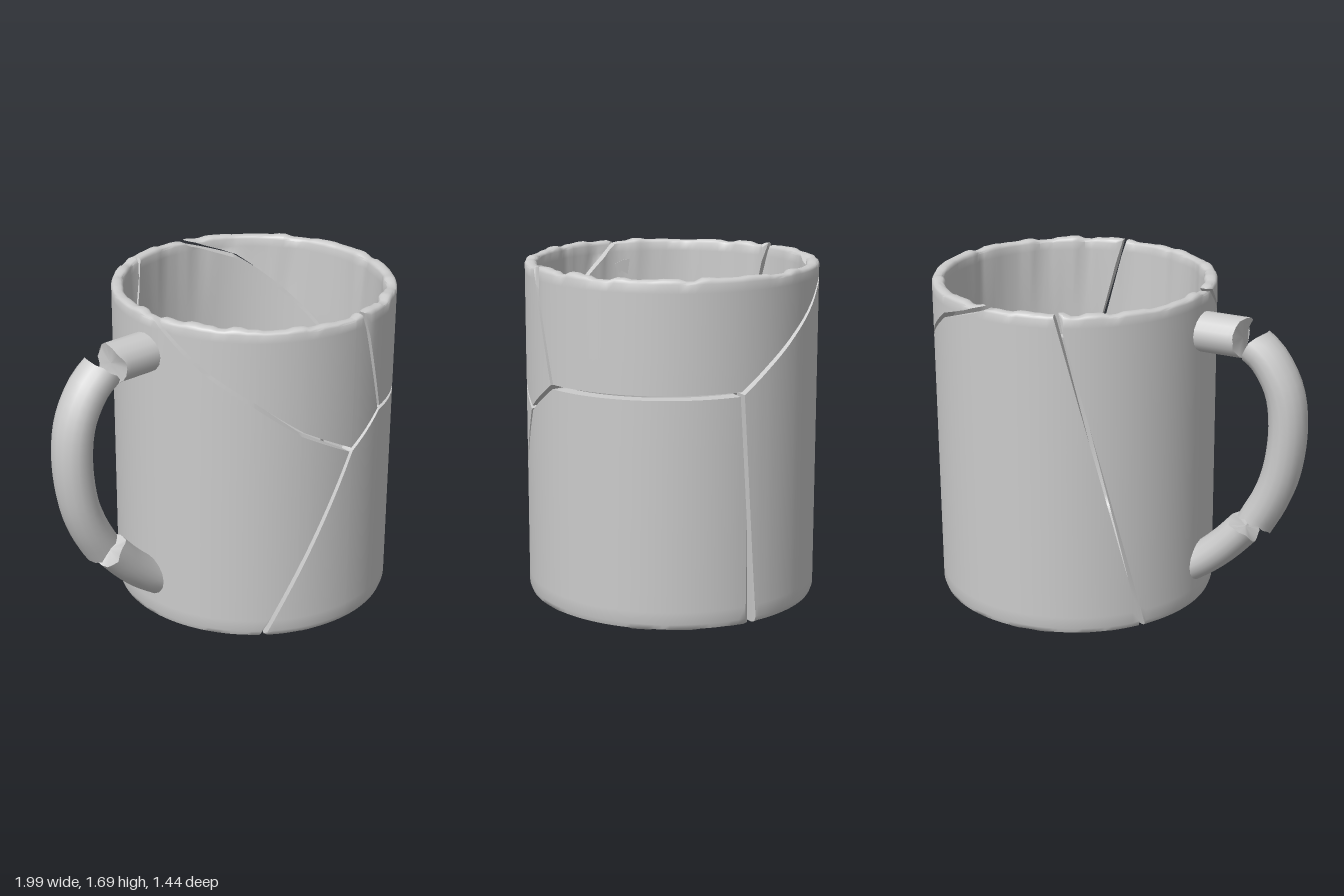
import * as THREE from 'three';
import { toCreasedNormals } from 'three/addons/utils/BufferGeometryUtils.js';

const CX = 0.28, R = 0.72, INNER = 0.65, H = 1.68, GAP = 0.011;
const RAD = Math.PI / 180;
const material = new THREE.MeshStandardMaterial({ color: 0xcccccc, side: THREE.DoubleSide });
const hash = n => { const s = Math.sin(n * 127.1) * 43758.5453; return s - Math.floor(s); };

function addMesh(group, name, geometry) {
  const mesh = new THREE.Mesh(geometry, material);
  mesh.name = name;
  group.add(mesh);
}

// Closed surface through a list of rings, with a fan cap at either end
function loft(rings) {
  const out = [];
  const tri = (a, b, c) => {
    const area = b.clone().sub(a).cross(c.clone().sub(a)).length();
    if (area > 1e-8) for (const p of [a, b, c]) out.push(p.x, p.y, p.z);
  };
  const n = rings[0].length;
  const centre = ring => ring.reduce((s, p) => s.add(p), new THREE.Vector3()).divideScalar(n);
  const first = rings[0], last = rings[rings.length - 1];
  const c0 = centre(first), c1 = centre(last);
  for (let j = 0; j < n; j++) {
    const k = (j + 1) % n;
    for (let i = 0; i < rings.length - 1; i++) {
      tri(rings[i][j], rings[i + 1][j], rings[i + 1][k]);
      tri(rings[i][j], rings[i + 1][k], rings[i][k]);
    }
    tri(c0, first[j], first[k]);
    tri(c1, last[k], last[j]);
  }
  const geometry = new THREE.BufferGeometry();
  geometry.setAttribute('position', new THREE.Float32BufferAttribute(out, 3));
  return toCreasedNormals(geometry, 0.75);
}

// Moves every edge of a counter-clockwise polygon inwards by d
function inset(points, d) {
  const n = points.length;
  const normal = (a, b) => {
    const l = Math.hypot(b[0] - a[0], b[1] - a[1]);
    return [-(b[1] - a[1]) / l, (b[0] - a[0]) / l];
  };
  return points.map((p, i) => {
    const u = normal(points[(i + n - 1) % n], p), v = normal(p, points[(i + 1) % n]);
    const k = d / (1 + u[0] * v[0] + u[1] * v[1]);
    return [p[0] + (u[0] + v[0]) * k, p[1] + (u[1] + v[1]) * k];
  });
}

// Wall profile: rounded foot and rim outside, fillet to the floor inside
const rounding = (d, r) => d >= r ? 0 : r - Math.sqrt(Math.max(0, r * r - (r - d) ** 2));
const outerRadius = y => R - rounding(y, 0.04) - rounding(H - y, 0.025);
const innerRadius = y => INNER - (y < 0.1 ? 0.08 : rounding(y - 0.1, 0.08)) + rounding(H - y, 0.025);
const LEVELS = [0, 0.005, 0.015, 0.04, 0.1, 0.11, 0.13, 0.18, 0.5, 0.9, 1.3, 1.62, 1.655, 1.67, 1.677, H];

// Wall shard from an outline of [degrees round the mug, height]; 0 degrees is the front
function wallShard(outline) {
  const poly = inset(outline.map(([a, y]) => [a * RAD * R, y]), GAP).map(([s, y]) => [s / R, y]);
  const angles = poly.map(p => p[0]);
  const from = Math.min(...angles), to = Math.max(...angles);
  for (let a = Math.ceil(from / RAD / 3) * 3 * RAD; a < to; a += 3 * RAD) angles.push(a);
  angles.sort((a, b) => a - b);
  const rings = angles.map(a => {
    let lo = Infinity, hi = -Infinity;
    poly.forEach((p, i) => {
      const q = poly[(i + 1) % poly.length];
      if (a < Math.min(p[0], q[0]) - 1e-9 || a > Math.max(p[0], q[0]) + 1e-9) return;
      const y = p[1] + (q[1] - p[1]) * (a - p[0]) / (q[0] - p[0]);
      lo = Math.min(lo, y);
      hi = Math.max(hi, y);
    });
    // Small chips along the rim and foot
    const step = Math.round(a / RAD / 6);
    const chip = 0.018 * hash(step + 80), foot = 0.012 * hash(step + 300);
    const at = (r, y) => {
      const h = y > 1.65 ? y + 0.008 - chip * (y - 1.65) / 0.03 : y < 0.015 ? y + foot * (1 - y / 0.015) : y;
      return new THREE.Vector3(CX + r * Math.sin(a), h, r * Math.cos(a));
    };
    const ys = LEVELS.map(y => Math.min(Math.max(y, lo), hi));
    return [
      ...ys.map(y => at(outerRadius(y), y)),
      ...ys.slice().reverse().map(y => at(innerRadius(y) + (y > 1.6 ? chip : 0), y)),
    ];
  });
  return loft(rings);
}

// Floor slab between two angles and the point where the floor cracks meet
function floorShard(from, to) {
  const points = [[-0.12, 0.21]];
  for (let i = 0; i <= 30; i++) {
    const a = (from + (to - from) * i / 30) * RAD;
    points.push([CX + 0.67 * Math.sin(a), -0.67 * Math.cos(a)]);
  }
  const shape = new THREE.Shape(inset(points, GAP).map(p => new THREE.Vector2(...p)));
  return new THREE.ExtrudeGeometry(shape, { depth: 0.088, bevelEnabled: false })
    .rotateX(-Math.PI / 2).translate(0, 0.015, 0);
}

// Handle piece along a path in the x-y plane, with slanted broken ends
function handlePiece(path, startBreak, endBreak, radius = 0.1) {
  const curve = new THREE.CatmullRomCurve3(path.map(([x, y]) => new THREE.Vector3(x, y, 0)));
  const steps = 20, sides = 16, rings = [];
  for (let i = 0; i <= steps; i++) {
    const p = curve.getPointAt(i / steps), t = curve.getTangentAt(i / steps);
    const rough = i === 0 ? startBreak : i === steps ? endBreak : 0;
    rings.push(Array.from({ length: sides }, (_, j) => {
      const a = j / sides * Math.PI * 2, c = Math.cos(a) * radius;
      const shift = rough * (Math.sin(2 * a + 1) + hash(j + i) - 0.5);
      return new THREE.Vector3(p.x - t.y * c + t.x * shift, p.y + t.x * c + t.y * shift, -Math.sin(a) * 0.11);
    }));
  }
  return loft(rings);
}

export function createModel() {
  const mug = new THREE.Group();
  mug.name = 'crackedMug';

  // Crack lines shared by neighbouring shards
  const top = H + GAP, bottom = -GAP;
  const leftCrack = [[-86, top], [-60, 1.44], [-42, 1.3], [-23, 1.13], [0, 0.98]];
  const frontFork = [17.8, 1.13], rimFront = [4.8, top], rimBack = [201, top];
  const frontFoot = [[-38.7, bottom], [-18.6, 0.5]], rightFoot = [102.8, bottom];
  const backCrack = [[96.5, 1.14], [109, 1.26], [123.7, 1.39], [146, 1.57], [176, top]];

  const walls = new THREE.Group();
  walls.name = 'wallShards';
  mug.add(walls);
  addMesh(walls, 'upperFrontShard', wallShard([...leftCrack, frontFork, rimFront]));
  addMesh(walls, 'upperRightShard', wallShard([rimFront, frontFork, ...backCrack]));
  addMesh(walls, 'lowerFrontShard', wallShard(
    [frontFoot[0], rightFoot, backCrack[0], frontFork, leftCrack[4], frontFoot[1]]));
  addMesh(walls, 'backShard', wallShard(
    [rightFoot, [236, bottom], rimBack, ...backCrack.slice().reverse()]));
  addMesh(walls, 'handleSideShard', wallShard(
    [[-124, bottom], ...frontFoot, ...leftCrack.slice().reverse(), [rimBack[0] - 360, top]]));

  const floor = new THREE.Group();
  floor.name = 'floorShards';
  mug.add(floor);
  addMesh(floor, 'frontFloor', floorShard(-38.7, 102.8));
  addMesh(floor, 'backFloor', floorShard(102.8, 236));
  addMesh(floor, 'handleSideFloor', floorShard(236, 321.3));

  const handle = new THREE.Group();
  handle.name = 'handle';
  mug.add(handle);
  addMesh(handle, 'upperHandleStub', handlePiece([[-0.38, 1.48], [-0.52, 1.48], [-0.65, 1.48]], 0, 0.02));
  addMesh(handle, 'handleGrip', handlePiece(
    [[-0.71, 1.455], [-0.78, 1.4], [-0.87, 1.25], [-0.9, 1.06], [-0.875, 0.82], [-0.82, 0.66], [-0.75, 0.53]],
    0.015, 0.03, 0.095));
  addMesh(handle, 'lowerHandleStub', handlePiece([[-0.69, 0.48], [-0.58, 0.36], [-0.48, 0.27], [-0.38, 0.2]], 0.03, 0, 0.09));

  return mug;
}
